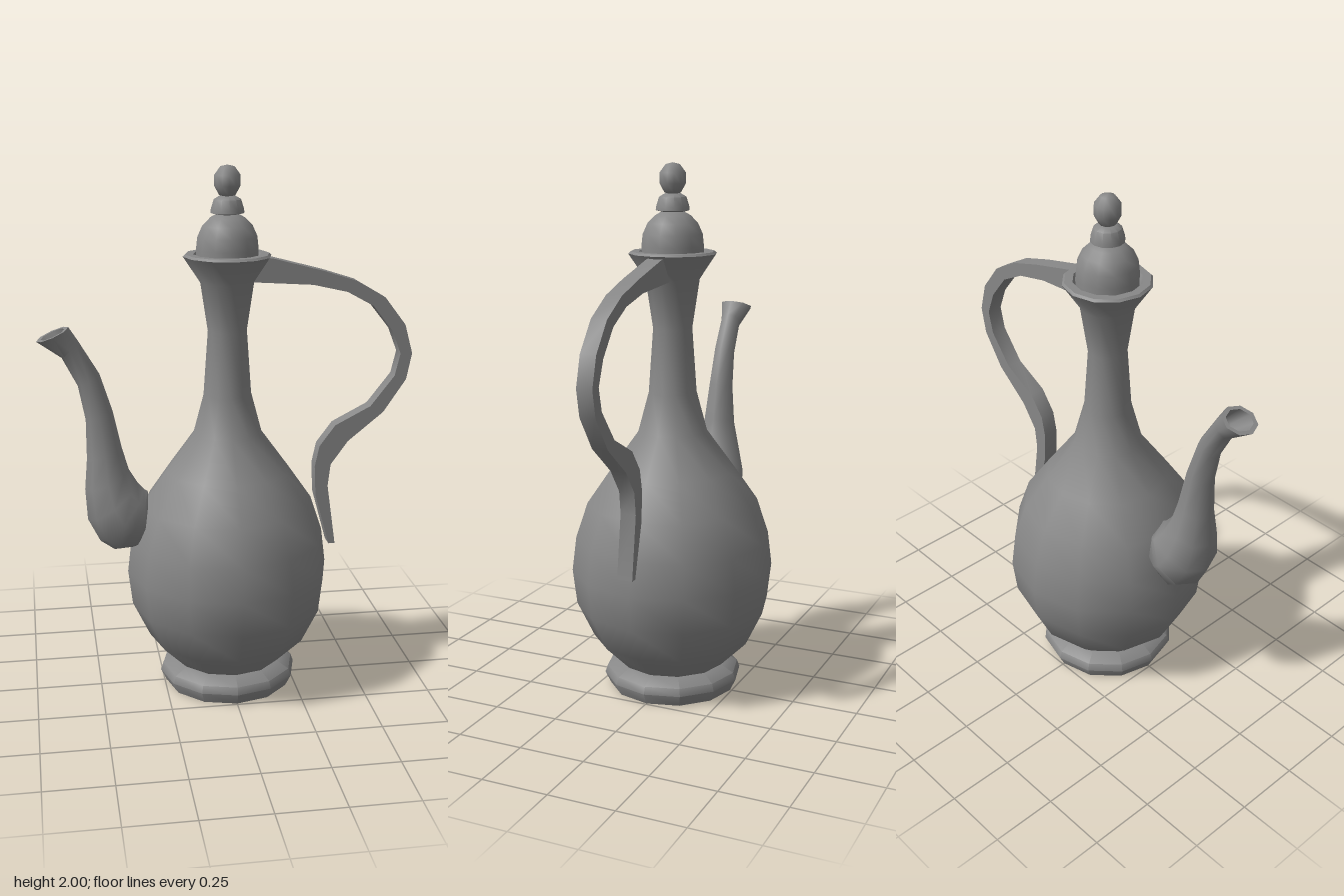
import * as THREE from 'three';
import { toCreasedNormals } from 'three/addons/utils/BufferGeometryUtils.js';

const material = new THREE.MeshStandardMaterial({ color: 0x888888, side: THREE.DoubleSide });

function addPart(group, name, geometry, crease) {
  const mesh = new THREE.Mesh(toCreasedNormals(geometry, crease), material);
  mesh.name = name;
  group.add(mesh);
}

// Twelve-sided turned part from [radius, height] pairs, bottom to top
function turned(profile) {
  return new THREE.LatheGeometry(profile.map(([r, y]) => new THREE.Vector2(r, y)), 12);
}

// Elliptical tube; each section is [outer x, outer y, inner x, inner y, half width in z]
function sectionTube(sections, sides) {
  const positions = [], index = [];
  for (const [ox, oy, ix, iy, w] of sections) {
    for (let k = 0; k < sides; k++) {
      const a = (k / sides) * Math.PI * 2, t = (1 + Math.cos(a)) / 2;
      positions.push(ox + (ix - ox) * t, oy + (iy - oy) * t, w * Math.sin(a));
    }
  }
  for (let i = 0; i < sections.length - 1; i++) {
    for (let k = 0; k < sides; k++) {
      const a = i * sides + k, b = i * sides + (k + 1) % sides;
      index.push(a, a + sides, b, b, a + sides, b + sides);
    }
  }
  const geometry = new THREE.BufferGeometry();
  geometry.setAttribute('position', new THREE.Float32BufferAttribute(positions, 3));
  geometry.setIndex(index);
  geometry.computeVertexNormals();
  return geometry;
}

export function createModel() {
  const group = new THREE.Group();
  group.name = 'ewer';

  // Foot ring
  addPart(group, 'foot', turned([
    [0, 0], [0.243, 0], [0.265, 0.045], [0.255, 0.073], [0.205, 0.1], [0, 0.1],
  ]), 0.8);

  // Belly, neck and flared rim with a shallow recess for the lid
  addPart(group, 'body', turned([
    [0.2, 0.095], [0.305, 0.2], [0.37, 0.335], [0.386, 0.47], [0.37, 0.6], [0.325, 0.735],
    [0.235, 0.865], [0.13, 1.01], [0.09, 1.16], [0.073, 1.4], [0.1, 1.58],
    [0.163, 1.675], [0.155, 1.683], [0.125, 1.683], [0.115, 1.665], [0, 1.665],
  ]), 0.8);

  // Domed lid
  addPart(group, 'lid', turned([
    [0.115, 1.665], [0.115, 1.7], [0.11, 1.745], [0.092, 1.785],
    [0.065, 1.812], [0.04, 1.826], [0, 1.83],
  ]), 0.8);

  // Tapered collar below the knob
  addPart(group, 'lidCollar', turned([
    [0.04, 1.825], [0.062, 1.83], [0.061, 1.842], [0.05, 1.878], [0.03, 1.89], [0, 1.89],
  ]), 0.8);

  // Knob
  addPart(group, 'knob', turned([
    [0, 1.885], [0.03, 1.893], [0.048, 1.926], [0.048, 1.964], [0.026, 1.994], [0, 2],
  ]), 0.9);

  // Strap handle: outer edge down, inner edge back up, extruded across z
  const outerEdge = [
    [0.09, 1.675], [0.165, 1.665], [0.355, 1.615], [0.48, 1.575], [0.59, 1.51],
    [0.67, 1.405], [0.7, 1.295], [0.68, 1.195], [0.595, 1.07], [0.46, 0.96],
    [0.395, 0.87], [0.385, 0.785], [0.418, 0.548],
  ];
  const innerEdge = [
    [0.393, 0.548], [0.338, 0.75], [0.333, 0.865], [0.35, 0.945], [0.41, 1.025],
    [0.545, 1.095], [0.635, 1.21], [0.655, 1.295], [0.62, 1.385], [0.545, 1.48],
    [0.445, 1.535], [0.315, 1.565], [0.09, 1.58],
  ];
  const outline = new THREE.Shape([...outerEdge, ...innerEdge].map(([x, y]) => new THREE.Vector2(x, y)));
  const handle = new THREE.ExtrudeGeometry(outline, { depth: 0.06, bevelEnabled: false });
  handle.translate(0, 0, -0.03);
  addPart(group, 'handle', handle, 0.8);

  // Spout: swollen root, slim neck, flared mouth, then the inside of the mouth
  addPart(group, 'spout', sectionTube([
    [-0.34, 0.57, -0.305, 0.785, 0.09],
    [-0.435, 0.563, -0.305, 0.79, 0.115],
    [-0.488, 0.6, -0.32, 0.8, 0.125],
    [-0.533, 0.69, -0.345, 0.83, 0.115],
    [-0.54, 0.81, -0.375, 0.88, 0.09],
    [-0.53, 0.93, -0.4, 0.97, 0.065],
    [-0.53, 1.08, -0.43, 1.11, 0.05],
    [-0.555, 1.21, -0.475, 1.253, 0.042],
    [-0.61, 1.317, -0.55, 1.38, 0.04],
    [-0.7, 1.38, -0.582, 1.43, 0.065],
    [-0.684, 1.386, -0.596, 1.424, 0.05],
    [-0.6, 1.328, -0.56, 1.37, 0.026],
    [-0.55, 1.27, -0.55, 1.27, 0],
  ], 8), 0.95);

  return group;
}
